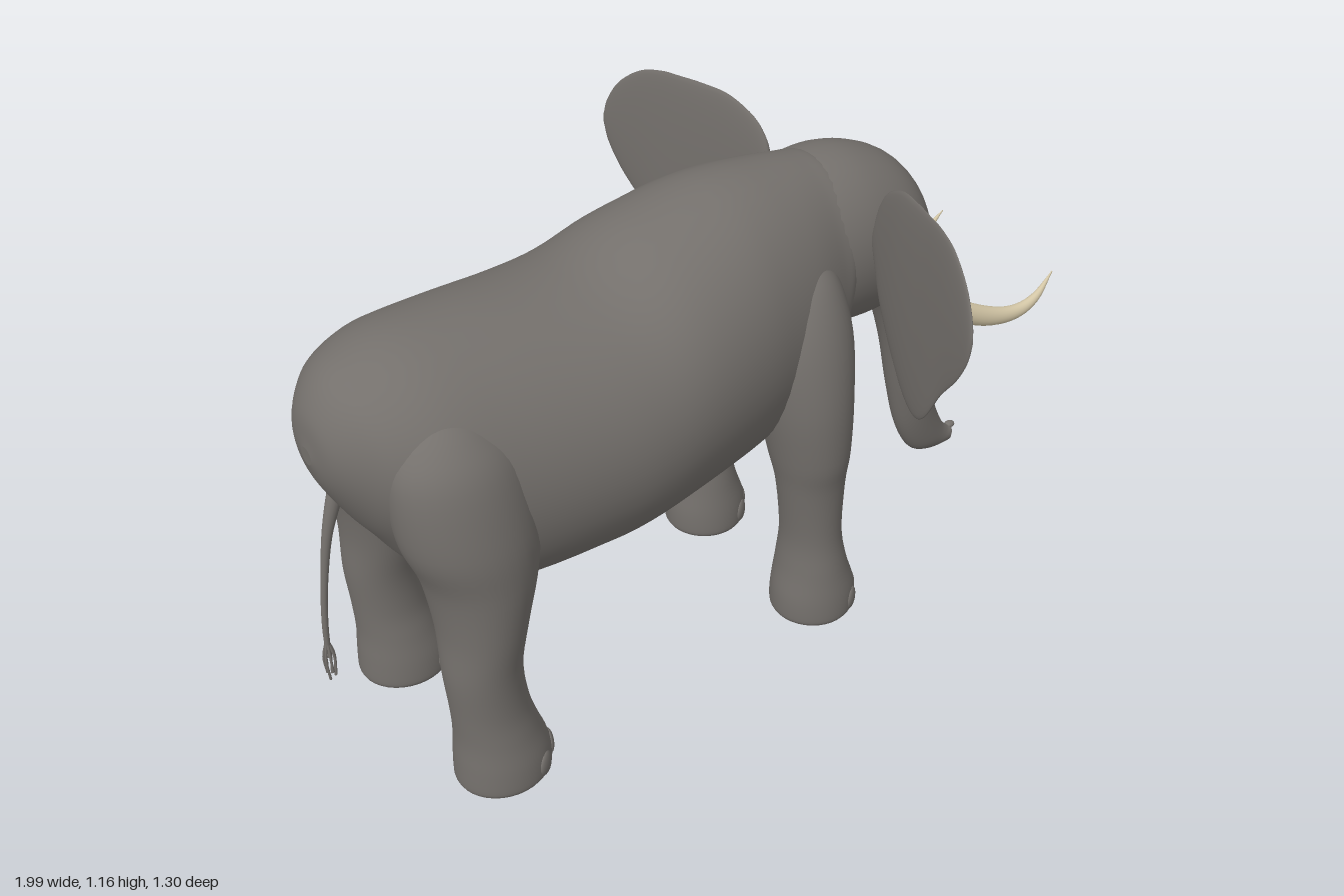
import * as THREE from 'three';

const skin = new THREE.MeshStandardMaterial({ name: 'grey skin', color: 0x74706c });
const ivory = new THREE.MeshStandardMaterial({ name: 'ivory', color: 0xd3c6a6 });
const dark = new THREE.MeshStandardMaterial({ name: 'dark eye', color: 0x2b2826 });

// Smooth loft through oval rings. Each station is
// [ax, ay, bx, by, w, zc]: two opposite points in the side plane,
// the half width along z, and the z centre. Flat caps close both ends.
function loft(stations, sides = 36, perSpan = 5) {
  const curveA = new THREE.CatmullRomCurve3(stations.map(s => new THREE.Vector3(s[0], s[1], s[4])), false, 'catmullrom', 0.5);
  const curveB = new THREE.CatmullRomCurve3(stations.map(s => new THREE.Vector3(s[2], s[3], s[5] || 0)), false, 'catmullrom', 0.5);
  const rings = (stations.length - 1) * perSpan;
  const pos = [], idx = [];
  const addRing = i => {
    const a = curveA.getPoint(i / rings), b = curveB.getPoint(i / rings);
    for (let j = 0; j < sides; j++) {
      const t = (j / sides) * Math.PI * 2, c = Math.cos(t) / 2;
      pos.push(
        (a.x + b.x) / 2 + (a.x - b.x) * c,
        (a.y + b.y) / 2 + (a.y - b.y) * c,
        b.z + Math.max(a.z, 0.001) * Math.sin(t));
    }
    return [(a.x + b.x) / 2, (a.y + b.y) / 2, b.z];
  };
  for (let i = 0; i <= rings; i++) addRing(i);
  for (let i = 0; i < rings; i++) {
    for (let j = 0; j < sides; j++) {
      const k = (j + 1) % sides, p = i * sides, q = p + sides;
      idx.push(p + j, p + k, q + j, p + k, q + k, q + j);
    }
  }
  for (const end of [0, rings]) {
    const base = pos.length / 3;
    pos.push(...addRing(end));
    for (let j = 0; j < sides; j++) {
      const k = (j + 1) % sides;
      if (end) idx.push(base + sides, base + j, base + k);
      else idx.push(base + sides, base + k, base + j);
    }
  }
  const g = new THREE.BufferGeometry();
  g.setAttribute('position', new THREE.Float32BufferAttribute(pos, 3));
  g.setIndex(idx);
  g.computeVertexNormals();
  return g;
}

function add(parent, name, geometry, material) {
  const m = new THREE.Mesh(geometry, material);
  m.name = name;
  parent.add(m);
  return m;
}

function ball(parent, name, material, p, r) {
  const m = add(parent, name, new THREE.SphereGeometry(1, 20, 14), material);
  m.position.set(...p);
  m.scale.set(...r);
  return m;
}

// Leg stations: [y, front x, back x, inner z, outer z], from top to sole
const frontLeg = [
  [0.99, 0.21, 0.18, 0.15, 0.18], [0.92, 0.27, 0.10, 0.08, 0.245], [0.80, 0.295, 0.055, 0.06, 0.295],
  [0.65, 0.285, 0.06, 0.08, 0.322], [0.50, 0.275, 0.085, 0.11, 0.322], [0.40, 0.268, 0.105, 0.135, 0.307],
  [0.25, 0.268, 0.125, 0.137, 0.30], [0.15, 0.288, 0.12, 0.125, 0.31], [0.07, 0.315, 0.108, 0.115, 0.32],
  [0.015, 0.317, 0.107, 0.113, 0.322], [0, 0.31, 0.112, 0.118, 0.317]];
const hindLeg = [
  [0.98, -0.72, -0.77, 0.14, 0.18], [0.93, -0.65, -0.84, 0.08, 0.25], [0.85, -0.59, -0.88, 0.06, 0.30],
  [0.70, -0.57, -0.875, 0.06, 0.328], [0.58, -0.585, -0.835, 0.07, 0.328], [0.45, -0.62, -0.818, 0.10, 0.318],
  [0.33, -0.643, -0.82, 0.13, 0.305], [0.22, -0.635, -0.812, 0.135, 0.302], [0.14, -0.615, -0.808, 0.125, 0.31],
  [0.07, -0.592, -0.812, 0.115, 0.32], [0.015, -0.588, -0.814, 0.113, 0.322], [0, -0.595, -0.81, 0.118, 0.317]];

function buildLeg(name, rows, s) {
  const leg = new THREE.Group();
  leg.name = name;
  add(leg, 'leg', loft(rows.map(([y, f, b, zi, zo]) => [f, y, b, y, (zo - zi) / 2, s * (zo + zi) / 2])), skin);
  // four toenails round the front of the foot
  const [, f, b] = rows[rows.length - 2];
  for (const a of [-1, -0.32, 0.32, 1]) {
    const nail = ball(leg, 'toenail', skin,
      [(f + b) / 2 + Math.cos(a) * ((f - b) / 2 - 0.004), 0.036, s * 0.2175 + Math.sin(a) * 0.1],
      [0.011, 0.032, 0.026]);
    nail.rotation.y = -a;
  }
  return leg;
}

export function createModel() {
  const model = new THREE.Group();
  model.name = 'elephant';

  // Body from rump to neck
  add(model, 'body', loft([
    [-0.963, 0.88, -0.963, 0.84, 0.02], [-0.95, 0.95, -0.945, 0.78, 0.085], [-0.91, 1.01, -0.905, 0.70, 0.15],
    [-0.85, 1.045, -0.86, 0.63, 0.21], [-0.75, 1.07, -0.78, 0.52, 0.265], [-0.60, 1.07, -0.62, 0.42, 0.30],
    [-0.40, 1.058, -0.40, 0.41, 0.324], [-0.28, 1.067, -0.28, 0.413, 0.326], [-0.15, 1.11, -0.15, 0.425, 0.315],
    [0, 1.143, 0, 0.44, 0.29], [0.10, 1.15, 0.10, 0.455, 0.266], [0.20, 1.142, 0.20, 0.475, 0.24],
    [0.29, 1.13, 0.28, 0.53, 0.205], [0.35, 1.115, 0.33, 0.64, 0.18], [0.40, 1.07, 0.38, 0.76, 0.11]], 48), skin);

  // Head flowing into the trunk
  add(model, 'headAndTrunk', loft([
    [0.22, 1.11, 0.22, 0.66, 0.18], [0.36, 1.122, 0.36, 0.67, 0.19], [0.46, 1.107, 0.44, 0.665, 0.187],
    [0.56, 1.06, 0.50, 0.665, 0.176], [0.63, 0.985, 0.53, 0.665, 0.157], [0.68, 0.87, 0.55, 0.66, 0.130],
    [0.72, 0.76, 0.57, 0.64, 0.105], [0.748, 0.64, 0.595, 0.585, 0.085], [0.763, 0.50, 0.625, 0.48, 0.069],
    [0.78, 0.36, 0.655, 0.33, 0.056], [0.81, 0.24, 0.69, 0.20, 0.046], [0.85, 0.155, 0.74, 0.11, 0.036],
    [0.875, 0.125, 0.80, 0.078, 0.028], [0.892, 0.115, 0.87, 0.07, 0.022]], 40), skin);
  ball(model, 'lowerLip', skin, [0.51, 0.685, 0], [0.085, 0.035, 0.075]);
  ball(model, 'trunkFinger', skin, [0.893, 0.115, 0], [0.016, 0.009, 0.012]);
  ball(model, 'trunkLip', skin, [0.883, 0.082, 0], [0.014, 0.011, 0.016]);

  for (const s of [1, -1]) {
    const side = s > 0 ? 'left' : 'right';
    model.add(buildLeg(side + 'FrontLeg', frontLeg, s), buildLeg(side + 'HindLeg', hindLeg, s));

    // Nostril
    ball(model, side + 'Nostril', dark, [0.881, 0.099, s * 0.008], [0.006, 0.005, 0.004]);

    // Eye with a skin fold round it
    ball(model, side + 'Eye', dark, [0.53, 0.91, s * 0.162], [0.015, 0.013, 0.014]);
    const lid = add(model, side + 'Eyelid', new THREE.TorusGeometry(0.017, 0.005, 8, 24), skin);
    lid.position.set(0.53, 0.91, s * 0.168);
    lid.rotation.y = s * 0.25;
    lid.scale.set(1.2, 0.9, 1);

    // Tusk and the socket it grows from
    ball(model, side + 'TuskSocket', skin, [0.55, 0.745, s * 0.105], [0.065, 0.06, 0.045]);
    add(model, side + 'Tusk', loft([
      [0.53, 0.795, 0.49, 0.735, 0.026, s * 0.115], [0.58, 0.757, 0.545, 0.695, 0.028, s * 0.138],
      [0.69, 0.68, 0.66, 0.63, 0.025, s * 0.164], [0.79, 0.627, 0.775, 0.577, 0.021, s * 0.184],
      [0.87, 0.605, 0.873, 0.566, 0.017, s * 0.197], [0.935, 0.617, 0.945, 0.595, 0.011, s * 0.202],
      [0.998, 0.66, 1.0, 0.657, 0.001, s * 0.197]], 20), ivory);

    // Ear: thin lens lofted outwards, then swung back
    const ear = add(model, side + 'Ear', loft([
      [0.185, 1.0, 0.93, 0.010], [0.20, 1.06, 0.89, 0.012], [0.235, 1.11, 0.815, 0.014], [0.30, 1.148, 0.735, 0.016],
      [0.37, 1.158, 0.67, 0.016], [0.43, 1.16, 0.648, 0.015], [0.48, 1.16, 0.68, 0.014], [0.54, 1.145, 0.78, 0.012],
      [0.60, 1.10, 0.86, 0.009], [0.635, 1.045, 0.925, 0.006], [0.648, 1.0, 0.975, 0.002],
    ].map(([z, top, bottom, w]) => {
      const d = (z - 0.185) * 1.06;
      return [d, top, d, bottom, w];
    }), 40), skin);
    ear.position.set(0.385, 0, s * 0.185);
    ear.rotation.y = -s * 1.905;
  }

  // Tail with a tuft of hair
  add(model, 'tail', loft([
    [-0.87, 0.80, -0.91, 0.81, 0.018], [-0.90, 0.73, -0.935, 0.735, 0.016], [-0.935, 0.64, -0.957, 0.645, 0.011],
    [-0.96, 0.52, -0.976, 0.52, 0.008], [-0.972, 0.42, -0.986, 0.42, 0.007], [-0.976, 0.33, -0.988, 0.33, 0.006]], 16), skin);
  for (let i = 0; i < 7; i++) {
    const a = (i / 7) * Math.PI * 2, c = Math.cos(a), n = Math.sin(a);
    const path = new THREE.CatmullRomCurve3([
      new THREE.Vector3(-0.981, 0.38, 0),
      new THREE.Vector3(-0.981 + c * 0.012, 0.33, n * 0.012),
      new THREE.Vector3(-0.981 + c * 0.008, 0.27 + (i % 3) * 0.012, n * 0.014)]);
    add(model, 'tailHair', new THREE.TubeGeometry(path, 8, 0.003, 6), skin);
  }
  return model;
}
